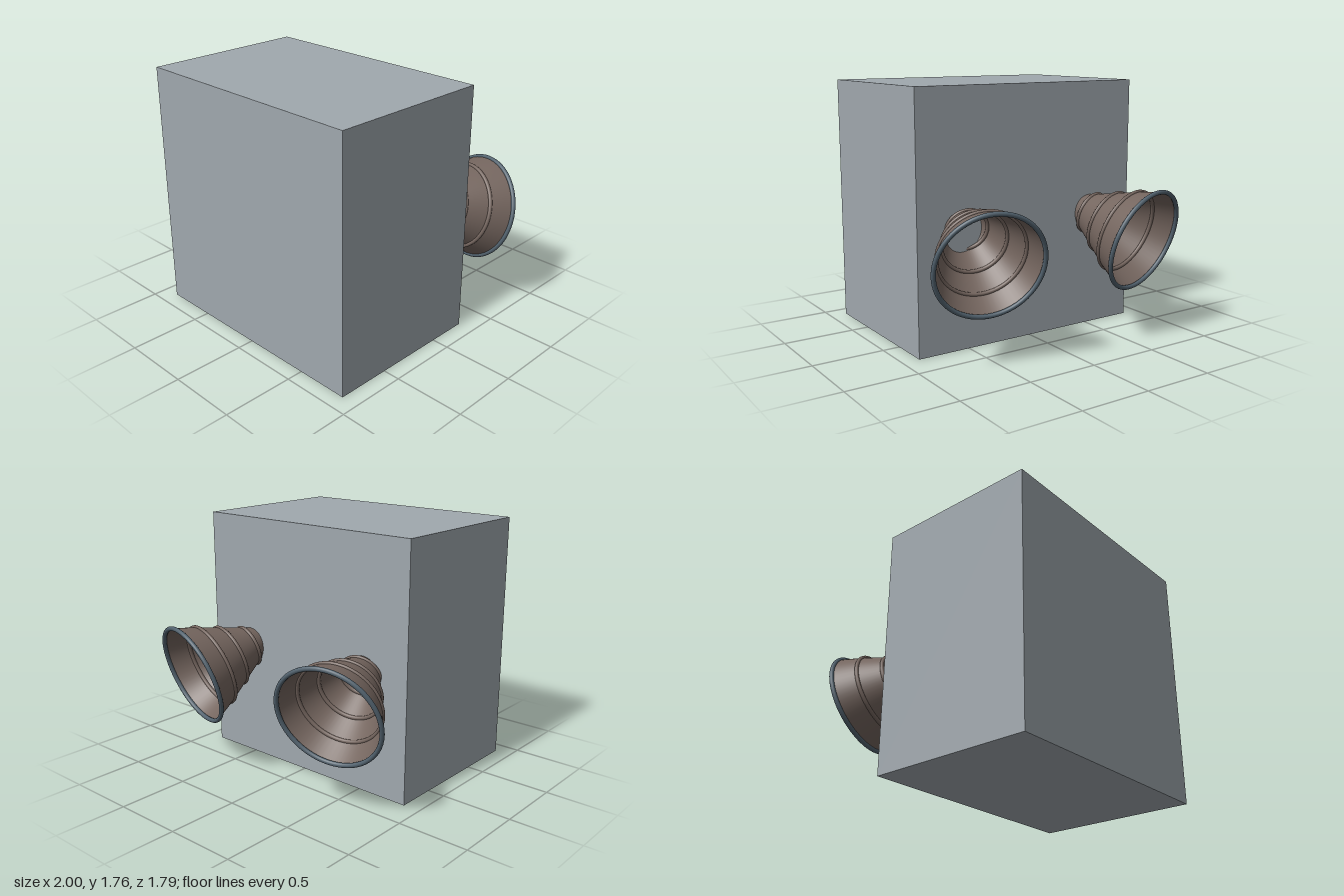
import * as THREE from 'three';

const hullGrey = new THREE.MeshStandardMaterial({ name: 'hullGrey', color: 0xa0a8ae });
const nozzleBrown = new THREE.MeshStandardMaterial({ name: 'nozzleBrown', color: 0x75665f, side: THREE.DoubleSide });
const rimSlate = new THREE.MeshStandardMaterial({ name: 'rimSlate', color: 0x52626e });

function addMesh(parent, name, geometry, material) {
  const mesh = new THREE.Mesh(geometry, material);
  mesh.name = name;
  parent.add(mesh);
  return mesh;
}

// Nozzle along local +y, with the centre of its mouth at the origin
function createNozzle(side) {
  const nozzle = new THREE.Group();
  nozzle.name = side > 0 ? 'leftNozzle' : 'rightNozzle';

  // Open bell: [radius, height], sunk into the block at its narrow end
  const profile = [[0.1, -0.58], [0.143, -0.48], [0.222, -0.315], [0.298, -0.16], [0.362, 0]]
    .map(([r, y]) => new THREE.Vector2(r, y));
  addMesh(nozzle, 'bell', new THREE.LatheGeometry(profile, 64), nozzleBrown);

  const addRing = (name, radius, tube, y, material) => {
    const ring = addMesh(nozzle, name, new THREE.TorusGeometry(radius, tube, 12, 64), material);
    ring.rotation.x = Math.PI / 2;
    ring.position.y = y;
  };

  // Stiffening bands and the mouth rim
  for (const [radius, y] of [[0.298, -0.16], [0.222, -0.315], [0.143, -0.48]]) {
    addRing('band', radius, 0.014, y, nozzleBrown);
  }
  addRing('mouthRim', 0.362, 0.016, 0, rimSlate);

  // Aim backward, outward and down
  const aim = new THREE.Vector3(0.22 * side, -0.285, -0.933).normalize();
  nozzle.quaternion.setFromUnitVectors(new THREE.Vector3(0, 1, 0), aim);
  nozzle.position.set(0.63 * side, 0.69, -0.76);
  return nozzle;
}

export function createModel() {
  const model = new THREE.Group();
  model.name = 'thrusterBlock';

  const block = addMesh(model, 'block', new THREE.BoxGeometry(1.76, 1.765, 1.173), hullGrey);
  block.position.set(0, 0.8825, 0.3);

  for (const side of [-1, 1]) model.add(createNozzle(side));
  return model;
}
